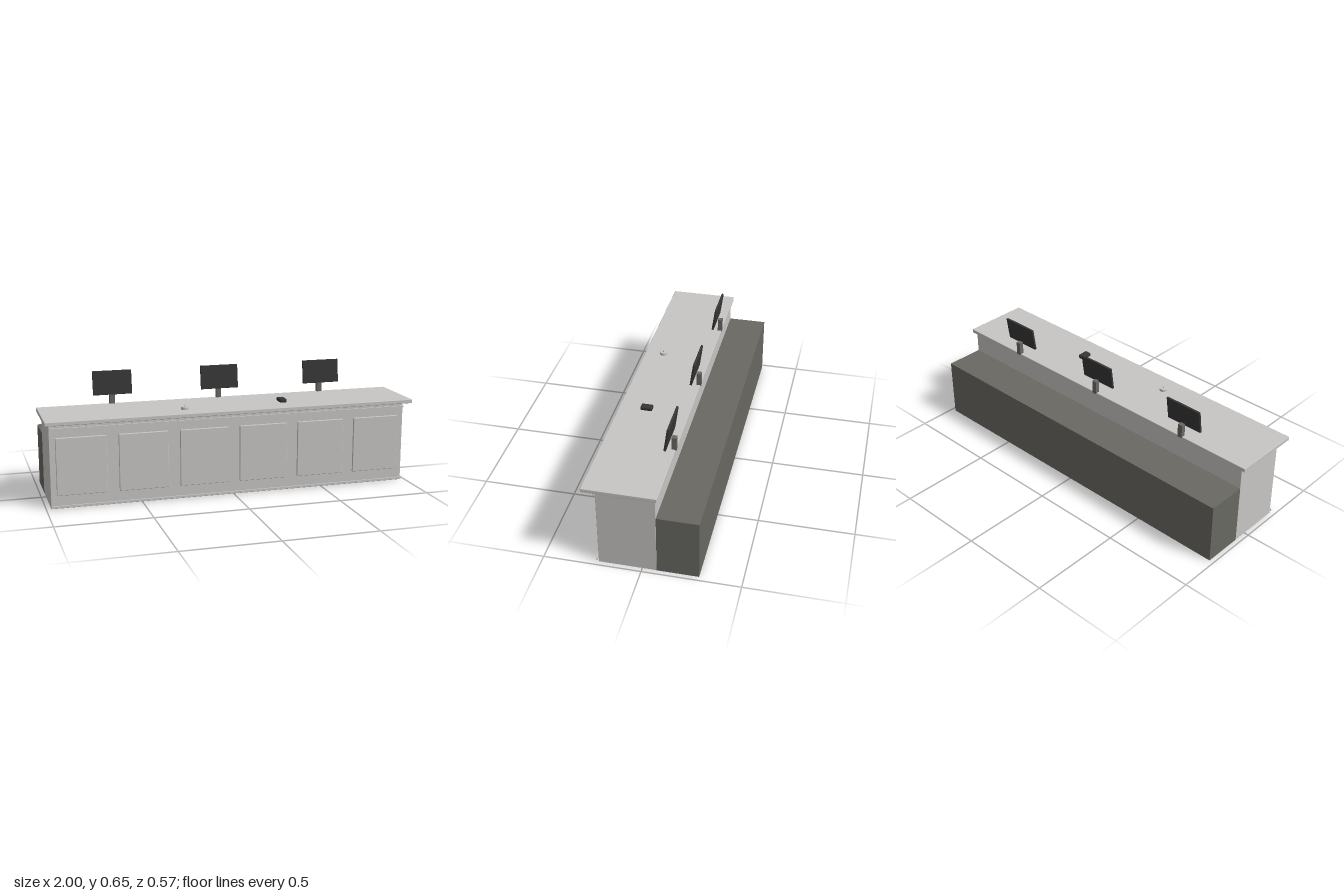
import * as THREE from 'three';
import { RoundedBoxGeometry } from 'three/addons/geometries/RoundedBoxGeometry.js';

export function createModel() {
  const group = new THREE.Group();
  const material = (name, color) => {
    const m = new THREE.MeshStandardMaterial({ color });
    m.name = name;
    return m;
  };
  const pale = material('pale grey', 0xc8c6c4);
  const olive = material('dark olive grey', 0x696862);
  const black = material('charcoal', 0x363636);

  const add = (name, geometry, mat, x, y, z, parent = group) => {
    const mesh = new THREE.Mesh(geometry, mat);
    mesh.name = name;
    mesh.position.set(x, y, z);
    parent.add(mesh);
    return mesh;
  };
  // Box given by its x centre, width and its y and z ranges; r rounds the edges
  const box = (name, mat, x, w, y0, y1, z0, z1, r = 0, parent = group) => {
    const size = [w, y1 - y0, z1 - z0];
    const geometry = r ? new RoundedBoxGeometry(...size, 2, r) : new THREE.BoxGeometry(...size);
    return add(name, geometry, mat, x, (y0 + y1) / 2, (z0 + z1) / 2, parent);
  };

  // Counter, worktop and lower rear cabinet
  box('counterBody', pale, 0, 1.95, 0, 0.446, -0.073, 0.222, 0.002);
  box('worktop', pale, 0, 2, 0.449, 0.47, -0.086, 0.286, 0.003);
  box('rearCabinet', olive, 0, 1.95, 0, 0.331, -0.286, -0.073);

  // Front trim rails, standing just clear of the body
  box('upperTrim', pale, 0, 1.95, 0.417, 0.425, 0.227, 0.235);
  box('lowerTrim', pale, 0, 1.95, 0.009, 0.017, 0.227, 0.235);

  // Raised front panels
  for (let i = 0; i < 6; i++) {
    box('frontPanel', pale, (i - 2.5) * 0.325, 0.262, 0.07, 0.373, 0.215, 0.232, 0.003);
  }

  // Monitors tilted back over upright stands
  for (const x of [-0.594, 0, 0.594]) {
    const monitor = new THREE.Group();
    monitor.name = 'monitor';
    group.add(monitor);
    box('monitorStand', olive, x, 0.027, 0.464, 0.539, -0.09, -0.066, 0, monitor);
    const screen = add('monitorScreen', new RoundedBoxGeometry(0.21, 0.129, 0.012, 2, 0.002), black,
      x, 0.587, -0.0615, monitor);
    screen.rotation.x = -0.14;
  }

  // Service bell with a small push button
  const bell = [[0, 0], [0.02, 0], [0.02, 0.0135], [0.0185, 0.015], [0, 0.015]]
    .map(([r, y]) => new THREE.Vector2(r, y));
  const bellMesh = add('serviceBell', new THREE.LatheGeometry(bell, 32).toNonIndexed(), pale, -0.256, 0.47, 0.181);
  bellMesh.geometry.computeVertexNormals();
  add('bellButton', new THREE.CylinderGeometry(0.003, 0.003, 0.01, 16), pale, -0.256, 0.489, 0.181);

  // Small handheld device resting on the worktop
  box('handheldDevice', black, 0.294, 0.038, 0.47, 0.491, 0.108, 0.17, 0.006);

  return group;
}
